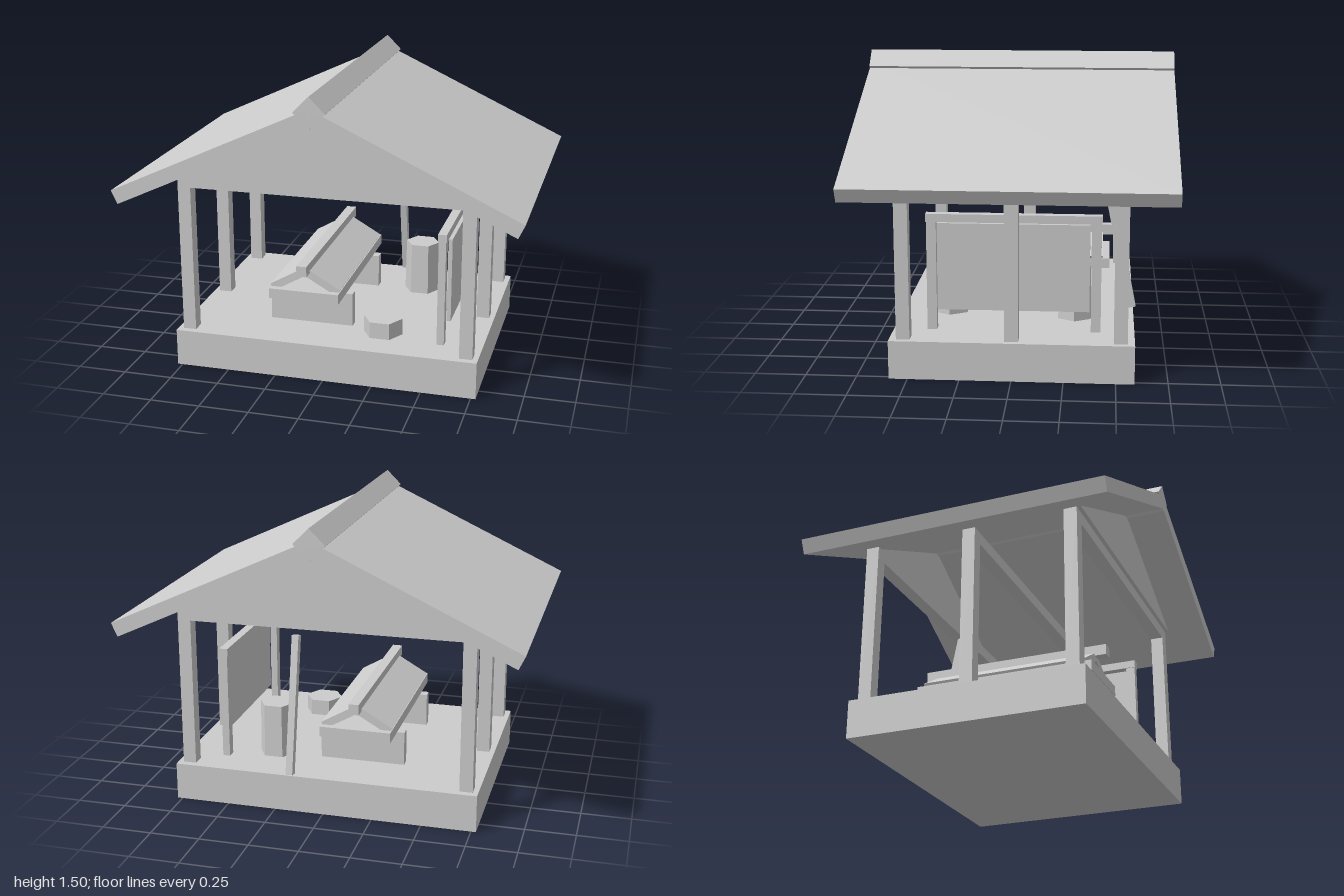
import * as THREE from 'three';

export function createModel() {
  const model = new THREE.Group();
  model.name = 'openPavilion';
  const grey = new THREE.MeshStandardMaterial({ color: 0xcccccc });
  grey.name = 'plain grey';

  const add = (name, geometry, x, y, z) => {
    const mesh = new THREE.Mesh(geometry, grey);
    mesh.name = name;
    mesh.position.set(x, y, z);
    model.add(mesh);
    return mesh;
  };
  // Box given by its extents on each axis
  const box = (name, x0, x1, y0, y1, z0, z1) =>
    add(name, new THREE.BoxGeometry(x1 - x0, y1 - y0, z1 - z0),
      (x0 + x1) / 2, (y0 + y1) / 2, (z0 + z1) / 2);
  // Mirrored pair of sloping slabs meeting at an apex
  const slopedPair = (name, cx, apexY, run, drop, thickness, depth) => {
    for (const side of [-1, 1]) {
      const slab = add(name, new THREE.BoxGeometry(Math.hypot(run, drop), thickness, depth),
        cx + side * run / 2, apexY - drop / 2, 0);
      slab.rotation.z = -side * Math.atan2(drop, run);
    }
  };
  // Hexagonal block with a flat side to the front
  const hexBlock = (name, x, z, topRadius, bottomRadius, height) => {
    const geometry = new THREE.CylinderGeometry(topRadius, bottomRadius, height, 6).toNonIndexed();
    geometry.computeVertexNormals();
    geometry.rotateY(Math.PI / 6);
    add(name, geometry, x, 0.19 + height / 2, z);
  };

  // Platform
  box('platform', -0.775, 0.775, 0, 0.19, -0.59, 0.59);

  // Three frames of two posts and a tie beam
  for (const z of [-0.522, 0, 0.522]) {
    for (const x of [-0.715, 0.715])
      box('post', x - 0.033, x + 0.033, 0.19, 1.01, z - 0.033, z + 0.033);
    box('tieBeam', -0.682, 0.682, 0.95, 1.01, z - 0.033, z + 0.033);
  }

  // Gable panels
  const triangle = new THREE.Shape([
    new THREE.Vector2(-0.748, 1.01), new THREE.Vector2(0.748, 1.01), new THREE.Vector2(0, 1.364),
  ]);
  for (const z of [-0.575, 0.535])
    add('gable', new THREE.ExtrudeGeometry(triangle, { depth: 0.04, bevelEnabled: false }), 0, 0, z);

  // Roof slabs and ridge beam set on its edge
  slopedPair('roofSlab', 0, 1.404, 0.985, 0.458, 0.074, 1.555);
  add('ridgeBeam', new THREE.BoxGeometry(0.11, 0.11, 1.555), 0, 1.425, 0).rotation.z = Math.PI / 4;

  // Table on two plank legs
  for (const z of [-0.284, 0.284])
    box('tableLeg', -0.353, 0.083, 0.19, 0.365, z - 0.026, z + 0.026);
  box('tableTop', -0.315, 0.048, 0.365, 0.418, -0.465, 0.465);

  // Small pitched cover on the table
  slopedPair('coverSlab', -0.134, 0.513, 0.174, 0.1, 0.04, 0.86);
  box('coverRidge', -0.16, -0.108, 0.508, 0.562, -0.49, 0.49);

  // Notice board
  for (const z of [-0.401, 0.401])
    box('boardPost', 0.545, 0.582, 0.19, 0.735, z - 0.024, z + 0.024);
  box('boardRail', 0.541, 0.585, 0.733, 0.773, -0.428, 0.428);
  box('boardPanel', 0.583, 0.604, 0.3, 0.733, -0.37, 0.37);

  // Stools
  hexBlock('lowStool', 0.254, 0.346, 0.1, 0.101, 0.085);
  hexBlock('tallStool', 0.324, -0.292, 0.09, 0.095, 0.275);

  // Pole leaning at the back
  add('leaningPole', new THREE.BoxGeometry(0.035, 0.7, 0.044), 0.169, 0.54, -0.514).rotation.x = 0.197;

  return model;
}
